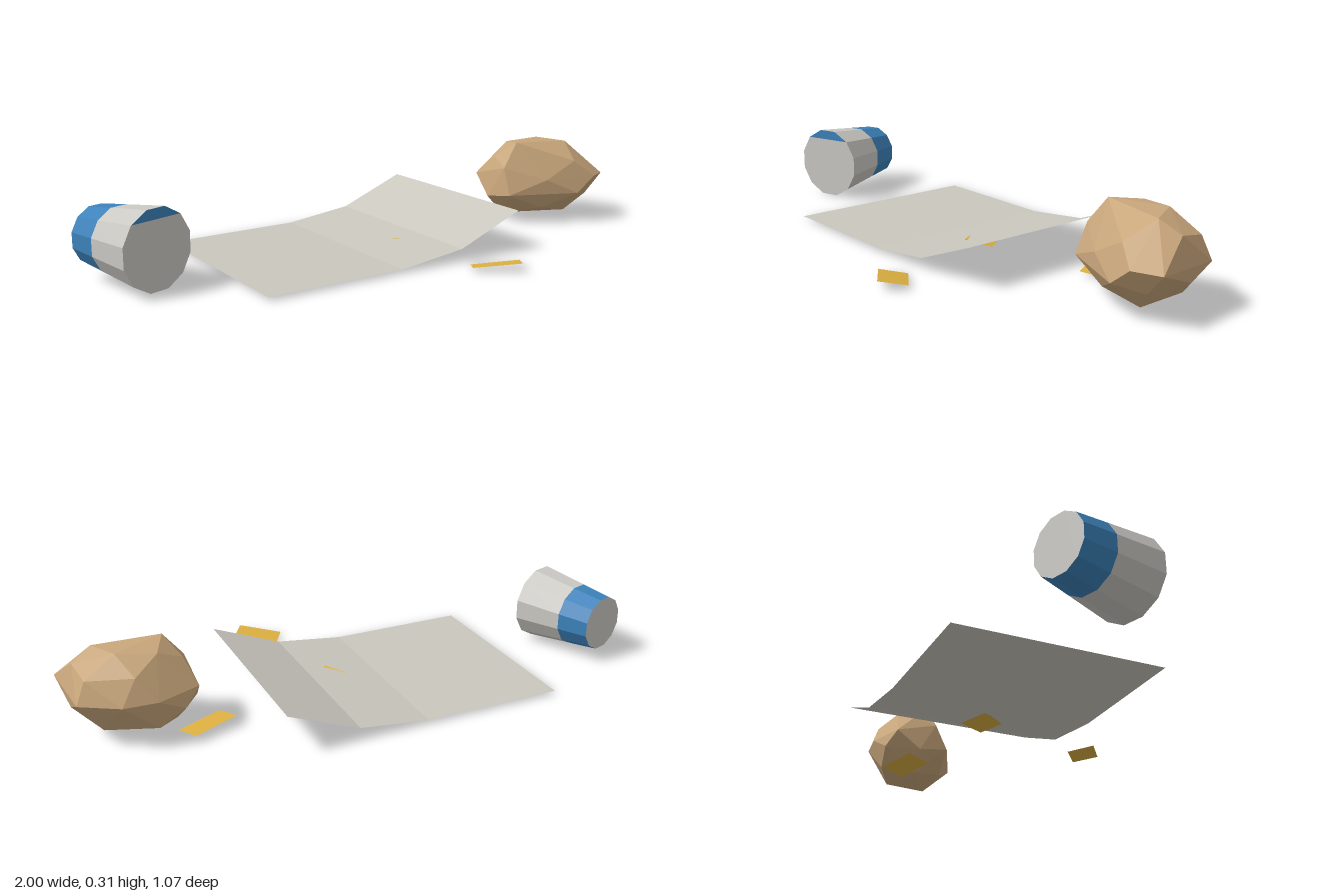
import * as THREE from 'three';
import { ConvexGeometry } from 'three/addons/geometries/ConvexGeometry.js';

const material = (name, color, side = THREE.FrontSide) => {
  const m = new THREE.MeshStandardMaterial({ color, side });
  m.name = name;
  return m;
};

// Gives every face its own hard-edged normal
function flat(geometry) {
  const g = geometry.index ? geometry.toNonIndexed() : geometry;
  g.computeVertexNormals();
  return g;
}

// Strip of quads between successive pairs of points
function strip(pairs) {
  const index = [];
  for (let i = 0; i < pairs.length - 1; i++) {
    const a = i * 2;
    index.push(a, a + 1, a + 2, a + 1, a + 3, a + 2);
  }
  const g = new THREE.BufferGeometry();
  g.setAttribute('position', new THREE.Float32BufferAttribute(pairs.flat(2), 3));
  g.setIndex(index);
  return flat(g);
}

export function createModel() {
  const model = new THREE.Group();
  model.name = 'litter';
  const paper = material('paper grey', 0xcac7be, THREE.DoubleSide);
  const cupGrey = material('cup grey', 0xcbc9c4);
  const blue = material('cup blue', 0x3c82ba);
  const tan = material('bag brown', 0xc8a67b);
  const yellow = material('scrap yellow', 0xdcb040, THREE.DoubleSide);

  const add = (parent, name, geometry, mat) => {
    const mesh = new THREE.Mesh(geometry, mat);
    mesh.name = name;
    parent.add(mesh);
    return mesh;
  };

  // Sheet of paper, curling up towards one end
  const heights = [0.015, 0.015, 0.015, 0.045, 0.145];
  const rows = heights.map((y, i) => {
    const x = -0.695 + 0.925 * i / 4, z = -0.145 - 0.39 * i / 4;
    return [[x, y, z], [x + 0.285, y, z + 0.675]];
  });
  add(model, 'paperSheet', strip(rows), paper);

  // Three small tilted scraps
  const scraps = [
    [[[0.30, 0.003, 0.285], [0.28, 0.021, 0.38]], [[0.46, 0.021, 0.32], [0.44, 0.037, 0.415]]],
    [[[0.405, 0.033, -0.315], [0.47, 0.016, -0.245]], [[0.53, 0.02, -0.425], [0.595, 0.003, -0.355]]],
    [[[0.03, 0.003, -0.115], [-0.015, 0.023, -0.032]], [[0.155, 0.018, -0.045], [0.11, 0.038, 0.04]]],
  ];
  scraps.forEach((s, i) => add(model, `scrap${i + 1}`, strip(s), yellow));

  // Twelve-sided cup on its side, base at -z and wide end at +z
  const sides = 12, step = Math.PI / 6, start = Math.PI / 12;
  const length = 0.298, band = 0.118;
  const rBase = 0.101, rBand = 0.1157, rTop = 0.138;
  const cup = new THREE.Group();
  cup.name = 'cup';
  const wall = (r0, r1, z0, z1) => {
    const g = new THREE.CylinderGeometry(r1, r0, z1 - z0, sides, 1, true, start);
    g.rotateX(Math.PI / 2).translate(0, 0, (z0 + z1) / 2);
    return flat(g);
  };
  const endFace = (r, z, first, last) => {
    const points = [];
    for (let k = first; k <= last; k++) {
      const a = start + k * step;
      points.push(new THREE.Vector2(r * Math.cos(a), r * Math.sin(a)));
    }
    return new THREE.ShapeGeometry(new THREE.Shape(points)).translate(0, 0, z);
  };
  const half = length / 2;
  add(cup, 'cupBand', wall(rBase, rBand, -half, -half + band), blue);
  add(cup, 'cupWall', wall(rBand, rTop, -half + band, half), cupGrey);
  add(cup, 'cupBase', endFace(rBase, half, 0, 11).rotateY(Math.PI), cupGrey);
  add(cup, 'cupEnd', endFace(rTop, half, 4, 13), cupGrey);
  add(cup, 'cupEndPatch', endFace(rTop, half, 1, 4), blue);
  cup.position.set(-0.829, 0.14, 0.266);
  cup.rotation.y = Math.atan2(0.1925, 0.2275);
  model.add(cup);

  // Crumpled bag, faceted and pointed at one end
  const bag = [
    [1.0, 0.175, -0.275], [0.515, 0.175, -0.37],
    [0.64, 0.31, -0.26], [0.86, 0.30, -0.32], [0.77, 0.305, -0.40], [0.64, 0.295, -0.38],
    [0.915, 0.26, -0.37], [0.86, 0.24, -0.46], [0.70, 0.25, -0.465], [0.57, 0.25, -0.31],
    [0.74, 0.165, -0.505], [0.885, 0.165, -0.485], [0.63, 0.17, -0.475], [0.925, 0.12, -0.40],
    [0.555, 0.12, -0.42], [0.74, 0.175, -0.178], [0.59, 0.12, -0.178], [0.865, 0.12, -0.175],
    [0.94, 0.18, -0.20], [0.86, 0.24, -0.21], [0.58, 0.22, -0.22], [0.535, 0.10, -0.28],
    [0.60, 0.025, -0.30], [0.85, 0.03, -0.28], [0.72, 0.02, -0.36], [0.82, 0.05, -0.43],
    [0.64, 0.06, -0.44], [0.73, 0.06, -0.21], [0.93, 0.10, -0.26],
  ];
  add(model, 'crumpledBag', new ConvexGeometry(bag.map((p) => new THREE.Vector3(...p))), tan);

  return model;
}
